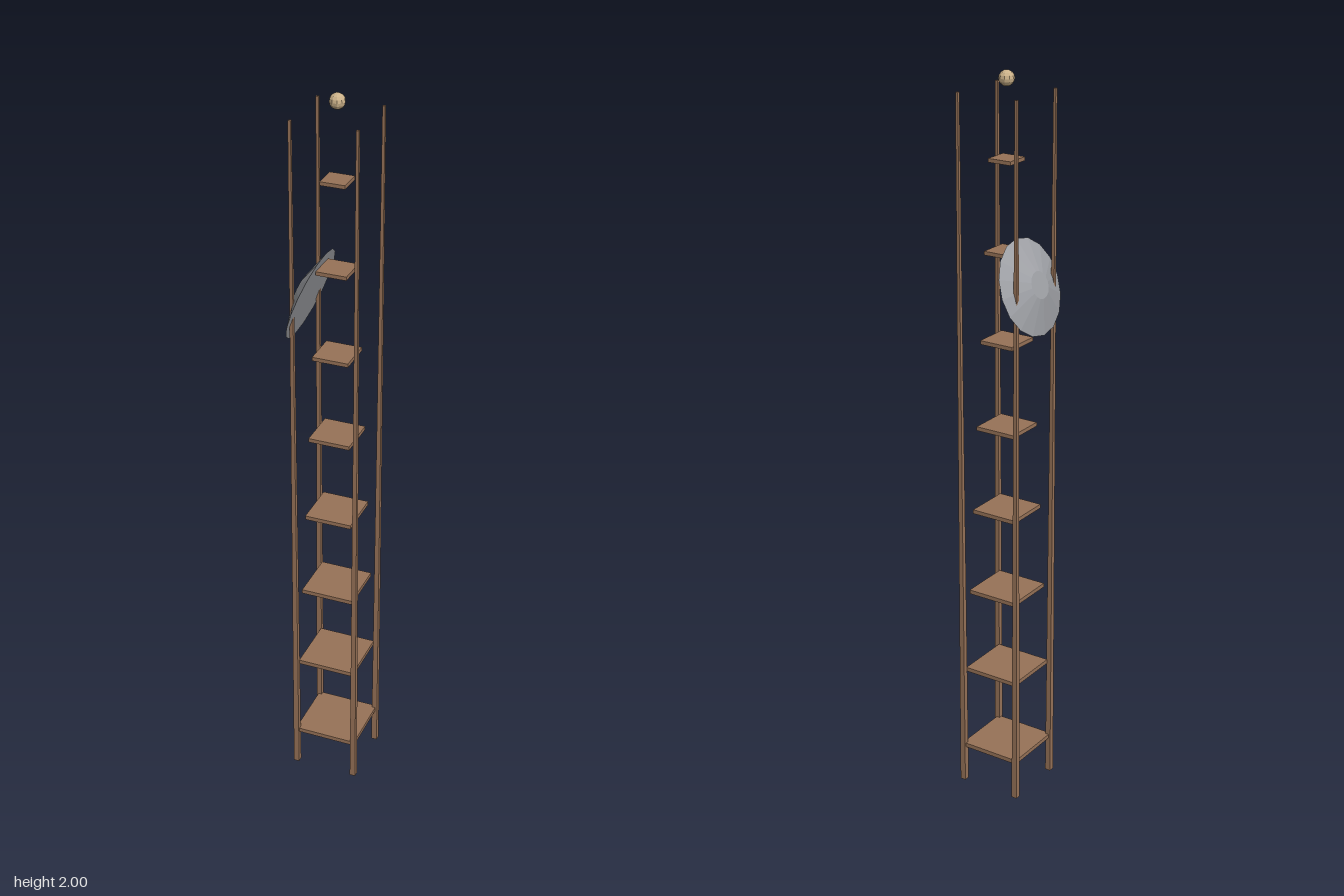
import * as THREE from 'three';

const wood = new THREE.MeshStandardMaterial({ name: 'wood brown', color: 0x987358, flatShading: true });
const metal = new THREE.MeshStandardMaterial({ name: 'dish grey', color: 0x9fa1a6, flatShading: true });
const lampTan = new THREE.MeshStandardMaterial({ name: 'lamp tan', color: 0xcbb189, flatShading: true });

function add(parent, name, geometry, material, x, y, z) {
  const mesh = new THREE.Mesh(geometry, material);
  mesh.name = name;
  mesh.position.set(x, y, z);
  parent.add(mesh);
  return mesh;
}

export function createModel() {
  const model = new THREE.Group();
  model.name = 'radioTower';

  // Tower axis sits slightly left of the model's centre to balance the dish
  const tower = new THREE.Group();
  tower.name = 'tower';
  tower.position.x = 0.0095;
  model.add(tower);

  // Four square posts, tapering upwards
  const postHeight = 1.95;
  const postGeometry = new THREE.CylinderGeometry(0.0035 * Math.SQRT2, 0.008 * Math.SQRT2, postHeight, 4)
    .rotateY(Math.PI / 4);
  for (const sx of [-1, 1]) {
    for (const sz of [-1, 1]) {
      add(tower, 'post', postGeometry, wood, sx * 0.0865, postHeight / 2, sz * 0.0865);
    }
  }

  // Eight square platforms, smaller towards the top
  for (let i = 0; i < 8; i++) {
    const width = 2 * (0.0885 - i * 0.0079);
    add(tower, 'platform', new THREE.BoxGeometry(width, 0.012 - i * 0.0003, width), wood, 0, 0.111 + i * 0.238, 0);
  }

  // Beacon ball above the posts
  add(tower, 'beacon', new THREE.SphereGeometry(0.0205, 10, 8), lampTan, 0, 1.9795, 0);

  // Shallow dish: flat face towards the tower, narrow back outwards and up
  const tilt = THREE.MathUtils.degToRad(19.7);
  const dishGeometry = new THREE.CylinderGeometry(0.036, 0.128, 0.031, 16).translate(0, 0.0155, 0);
  const dish = add(model, 'dish', dishGeometry, metal, -0.0625, 1.4585, 0);
  dish.rotation.z = Math.PI / 2 - tilt;

  return model;
}
